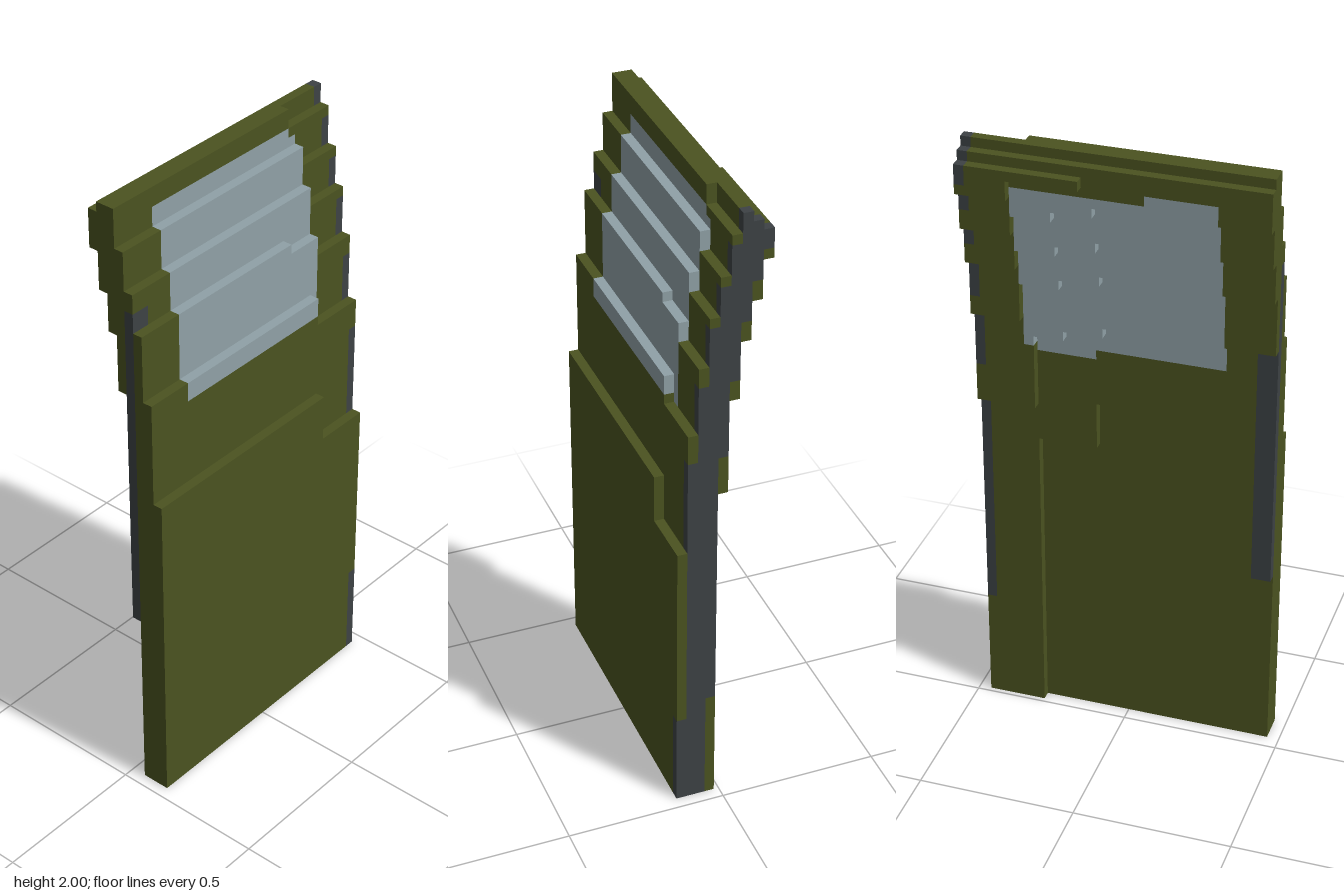
import * as THREE from 'three';
import { mergeGeometries } from 'three/addons/utils/BufferGeometryUtils.js';

const U = 2 / 65; // one block

const paint = new THREE.MeshStandardMaterial({ color: 0x4b5320 });
paint.name = 'olive paint';
const pane = new THREE.MeshStandardMaterial({ color: 0x90a1a7 });
pane.name = 'window grey';
const dark = new THREE.MeshStandardMaterial({ color: 0x3d4245 });
dark.name = 'dark trim';

// Door skin: nine upright layers, one block thick, counted from front to back.
// The frame is the strip beside the window on the left edge.
const panelBottom = [0, 0, 0, 37, 46, 52, 56, 60, 64];
const panelTop = [35, 46, 53, 57, 61, 65, 65, 64, 63];
const frameBottom = [0, 0, 0, 0, 36, 46, 52, 56, 60];
const frameTop = [30, 43, 50, 55, 59, 63, 65, 64, 63];
const trimBottom = [0, 0, 0, 12, 40, 48, 54, 58, 61];
const trimTop = [10, 40, 48, 54, 58, 62, 65, 64, 63];
const columnEdges = [-15, -13, -10, -3, 2, 3, 6, 9, 10, 14, 15];

// Height range of the skin in the column that starts at x
function bottomAt(x, layer) {
  if (x >= 10 || (x >= 9 && layer < 5)) return frameBottom[layer];
  if (layer < 3) return 0;
  if (layer === 3) return x < -13 ? 20 : x >= 3 ? 32 : 37;
  if (layer === 8) return x >= 3 ? 62 : 63;
  return panelBottom[layer] - (x >= 6 ? 2 : x >= 2 ? 1 : 0);
}

function topAt(x, layer) {
  const wideFrame = layer < 2 || layer === 5;
  if (x >= (wideFrame ? 9 : 10)) return frameTop[layer];
  return layer === 2 && x >= 6 ? 52 : panelTop[layer];
}

// Coloured inset of a column: window, edge trim or rear strip
function insetAt(x, layer) {
  if (x >= 14) return ['edgeTrim', trimBottom[layer], trimTop[layer]];
  if (x < -13 && layer === 3) return ['edgeTrim', 20, 55];
  if (x < -10 || x >= 10 || layer < 1 || layer > 7) return ['doorPanel', 0, 0];
  const inner = layer === 3;
  const sill = (inner ? 43 : 44) - (x >= (inner ? 3 : 9) ? 1 : 0);
  const head = layer === 7 && x >= -3 ? 61 : layer > 5 || x >= 9 ? 62 : 63;
  return ['window', sill, head];
}

function block(x0, x1, y0, y1, layer) {
  const g = new THREE.BoxGeometry((x1 - x0) * U, (y1 - y0) * U, U);
  g.translate(((x0 + x1) / 2) * U, ((y0 + y1) / 2) * U, (4 - layer) * U);
  return g;
}

export function createModel() {
  const group = new THREE.Group();
  group.name = 'steppedDoor';
  const materials = { doorPanel: paint, window: pane, edgeTrim: dark };
  const blocks = { doorPanel: [], window: [], edgeTrim: [] };

  // Split every column into skin below, inset, and skin above
  for (let layer = 0; layer < 9; layer++) {
    for (let c = 0; c < columnEdges.length - 1; c++) {
      const x0 = columnEdges[c];
      const x1 = columnEdges[c + 1];
      const bottom = bottomAt(x0, layer);
      const top = topAt(x0, layer);
      const [kind, low, high] = insetAt(x0, layer);
      const y0 = THREE.MathUtils.clamp(low, bottom, top);
      const y1 = THREE.MathUtils.clamp(high, bottom, top);
      const add = (name, from, to) => {
        if (to > from) blocks[name].push(block(x0, x1, from, to, layer));
      };
      add('doorPanel', bottom, y0);
      add(kind, y0, y1);
      add('doorPanel', y1, top);
    }
  }

  for (const name of Object.keys(blocks)) {
    const mesh = new THREE.Mesh(mergeGeometries(blocks[name]), materials[name]);
    mesh.name = name;
    group.add(mesh);
  }
  return group;
}
